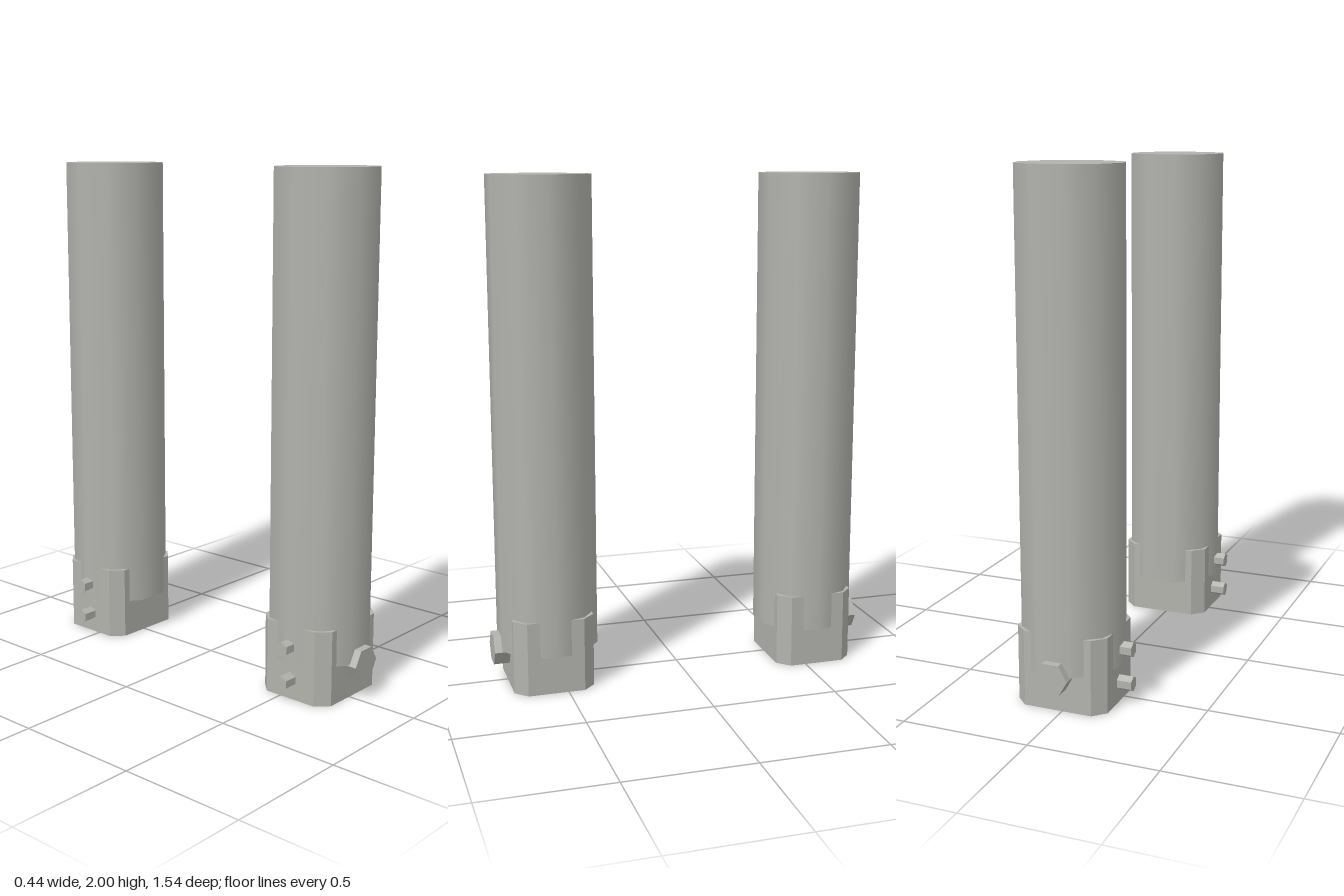
import * as THREE from 'three';

const grey = new THREE.MeshStandardMaterial({ color: 0xb2b2ad });
grey.name = 'light grey';

function part(name, geometry, x, y, z) {
  const mesh = new THREE.Mesh(geometry, grey);
  mesh.name = name;
  mesh.position.set(x, y, z);
  return mesh;
}

// Six-sided prism with hard edges, one corner pair along local x
function hexPrism(radius, length) {
  const g = new THREE.CylinderGeometry(radius, radius, length, 6, 1, false, Math.PI / 2).toNonIndexed();
  g.computeVertexNormals();
  return g;
}

// Upright block with chamfered vertical corners, standing on y = 0
function chamferedBlock(hx, hz, c, height) {
  const shape = new THREE.Shape([
    [hx, -hz + c], [hx, hz - c], [hx - c, hz], [-hx + c, hz],
    [-hx, hz - c], [-hx, -hz + c], [-hx + c, -hz], [hx - c, -hz],
  ].map(([x, z]) => new THREE.Vector2(x, z)));
  return new THREE.ExtrudeGeometry(shape, { depth: height, bevelEnabled: false }).rotateX(-Math.PI / 2);
}

// side = 1 for the front column, -1 for the back one
function createColumn(side) {
  const column = new THREE.Group();
  column.name = side > 0 ? 'frontColumn' : 'backColumn';
  column.position.set(0.018, 0, side * 0.548);

  // Smooth-sided ten-sided shaft, sunk into the foot
  const shaft = new THREE.CylinderGeometry(0.202, 0.202, 1.85, 10, 1, false, Math.PI / 2);
  column.add(part('shaft', shaft, 0, 1.075, 0));

  // Foot block
  column.add(part('foot', chamferedBlock(0.182, 0.16, 0.047, 0.295), 0, 0, 0));

  // Large bolt on the outward face
  const bolt = hexPrism(0.067, 0.08).rotateX(Math.PI / 2);
  column.add(part('bolt', bolt, 0, 0.147, side * 0.182));

  // Two small pegs on the right face
  for (const y of [0.08, 0.216]) {
    const peg = hexPrism(0.029, 0.08).rotateZ(Math.PI / 2);
    column.add(part('peg', peg, -0.2, y, 0));
  }
  return column;
}

export function createModel() {
  const model = new THREE.Group();
  model.name = 'columnPair';
  model.add(createColumn(1), createColumn(-1));
  return model;
}
